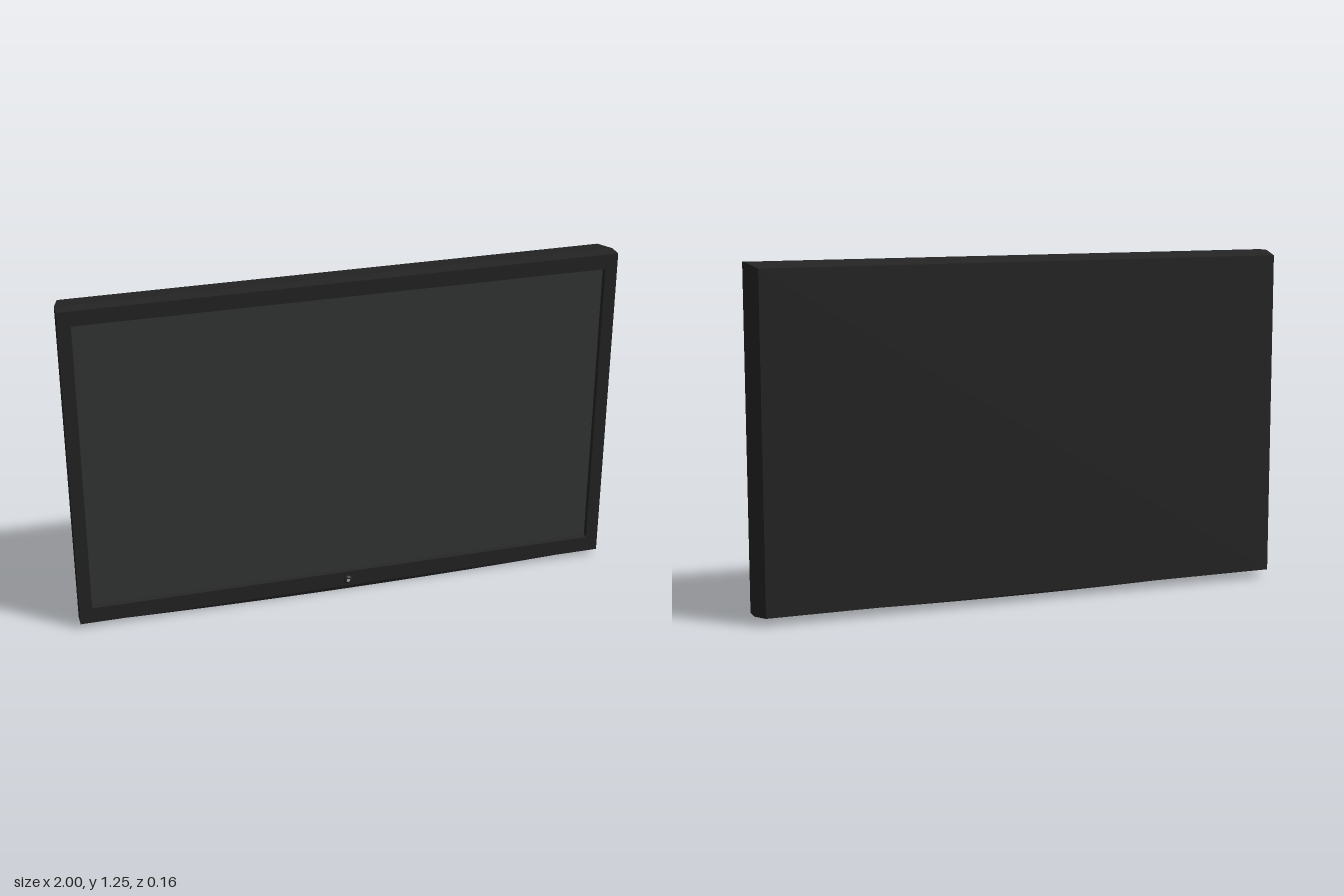
import * as THREE from 'three';

const plastic = new THREE.MeshStandardMaterial({ color: 0x242424, flatShading: true });
const darkPlastic = new THREE.MeshStandardMaterial({ color: 0x191919 });
const glass = new THREE.MeshStandardMaterial({ color: 0x343736 });
const silver = new THREE.MeshStandardMaterial({ color: 0xb0b4b2 });

// Flat-sided shell through rectangles [halfWidth, bottom, top, z], closed at the first one
function rectLoft(sections) {
  const rings = sections.map(([w, b, t, z]) => [[-w, b, z], [w, b, z], [w, t, z], [-w, t, z]]);
  const pos = [];
  const tri = (...corners) => corners.forEach((c) => pos.push(...c));
  const r = rings[0];
  tri(r[0], r[2], r[1]);
  tri(r[0], r[3], r[2]);
  for (let k = 0; k < rings.length - 1; k++) {
    const a = rings[k], b = rings[k + 1];
    for (let i = 0; i < 4; i++) {
      const j = (i + 1) % 4;
      tri(a[i], a[j], b[j]);
      tri(a[i], b[j], b[i]);
    }
  }
  const geo = new THREE.BufferGeometry();
  geo.setAttribute('position', new THREE.Float32BufferAttribute(pos, 3));
  geo.computeVertexNormals();
  return geo;
}

export function createModel() {
  const model = new THREE.Group();
  model.name = 'television';
  const add = (name, geo, mat, x = 0, y = 0, z = 0) => {
    const mesh = new THREE.Mesh(geo, mat);
    mesh.name = name;
    mesh.position.set(x, y, z);
    model.add(mesh);
    return mesh;
  };

  // Housing: tapered back, straight rim, front bezel and recess wall
  add('housing', rectLoft([
    [0.98, 0.03, 1.23, -0.08],
    [1, 0.018, 1.245, 0.01],
    [1, 0.018, 1.245, 0.063],
    [0.955, 0.078, 1.19, 0.063],
    [0.952, 0.081, 1.187, 0.046],
  ]), plastic);

  // Recessed screen
  add('screen', new THREE.PlaneGeometry(1.904, 1.106), glass, 0, 0.634, 0.046);

  // Shallow curved chin under the lower edge
  const chin = new THREE.Shape();
  chin.moveTo(0.93, 0.02);
  chin.lineTo(-0.93, 0.02);
  chin.lineTo(-0.93, 0.015);
  chin.quadraticCurveTo(0, -0.015, 0.93, 0.015);
  chin.closePath();
  add('chin', new THREE.ExtrudeGeometry(chin, { depth: 0.043, bevelEnabled: false, curveSegments: 16 }),
    darkPlastic, 0, 0, 0.011);

  // Round power button with a pale centre
  const profile = [[0.012, 0], [0.016, 0.005], [0.016, 0.012], [0.012, 0.018], [0.007, 0.018], [0.007, 0.015]]
    .map(([r, h]) => new THREE.Vector2(r, h));
  const ring = add('buttonRing', new THREE.LatheGeometry(profile, 24), plastic, 0, 0.05, 0.063);
  ring.rotation.x = Math.PI / 2;
  add('buttonCentre', new THREE.CircleGeometry(0.0075, 20), silver, 0, 0.05, 0.079);

  return model;
}
